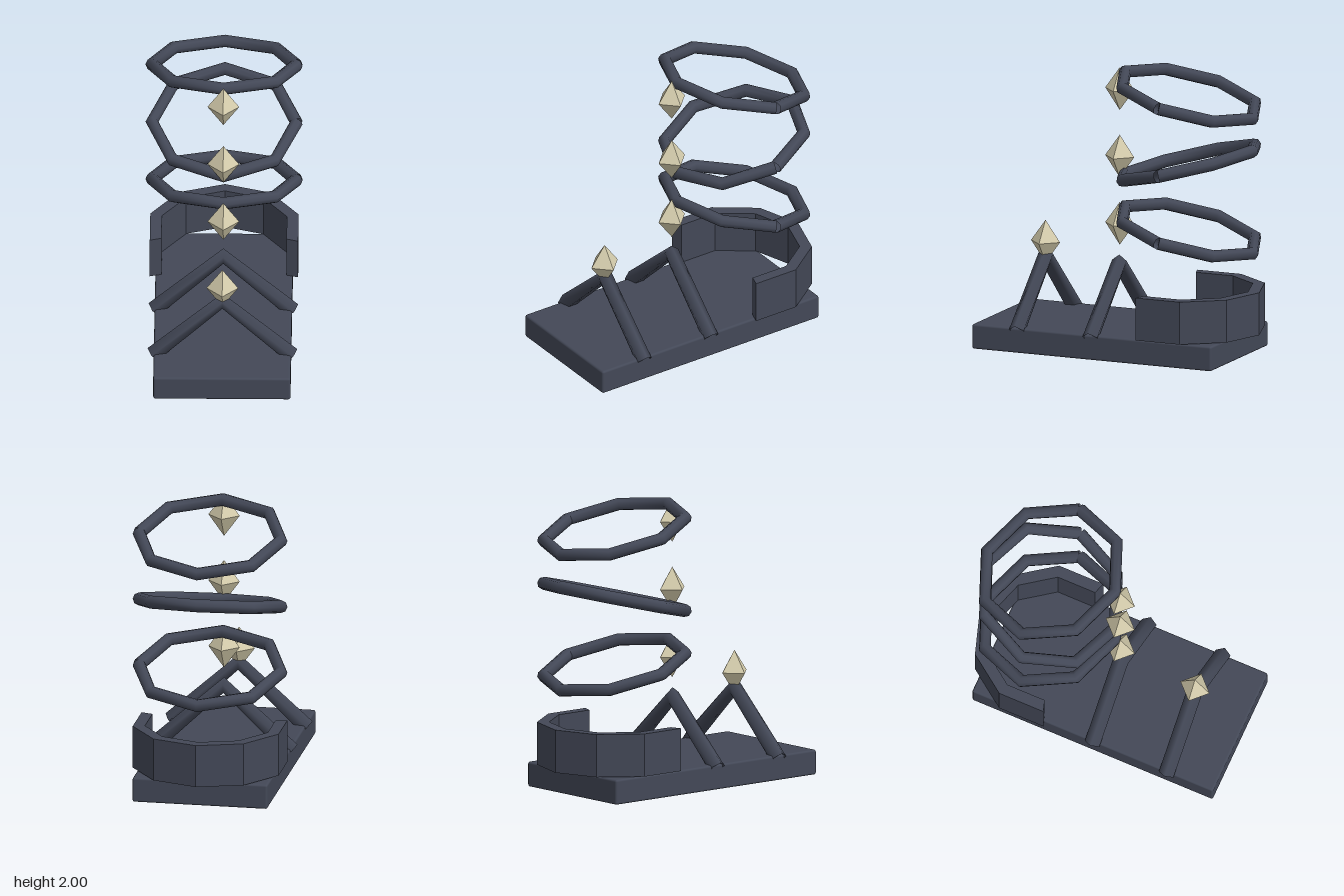
import * as THREE from 'three';
import { RoundedBoxGeometry } from 'three/addons/geometries/RoundedBoxGeometry.js';

// Straight-sided path in the xy plane, made of equally long segments
class Polyline extends THREE.Curve {
  constructor(points) {
    super();
    this.points = points;
  }
  getPoint(t, target = new THREE.Vector3()) {
    const n = this.points.length - 1;
    const i = Math.min(Math.floor(t * n), n - 1);
    return target.lerpVectors(this.points[i], this.points[i + 1], t * n - i);
  }
  // Keep one edge of the tube's cross-section in the path's own plane
  computeFrenetFrames(segments) {
    const z = new THREE.Vector3(0, 0, 1);
    const tangents = [], normals = [], binormals = [];
    for (let i = 0; i <= segments; i++) {
      const t = this.getTangentAt(i / segments);
      const n = new THREE.Vector3().crossVectors(t, z);
      tangents.push(t);
      normals.push(n);
      binormals.push(new THREE.Vector3().crossVectors(t, n));
    }
    return { tangents, normals, binormals };
  }
}

export function createModel() {
  const model = new THREE.Group();
  model.name = 'model';
  const slate = new THREE.MeshStandardMaterial({ color: 0x434857, side: THREE.DoubleSide });
  slate.name = 'dark slate';
  const ivory = new THREE.MeshStandardMaterial({ color: 0xd4ccac });
  ivory.name = 'pale ivory';

  const add = (name, geometry, material, x, y, z) => {
    const mesh = new THREE.Mesh(geometry, material);
    mesh.name = name;
    mesh.position.set(x, y, z);
    model.add(mesh);
    return mesh;
  };

  // Slab
  add('base', new RoundedBoxGeometry(0.95, 0.175, 1.82, 2, 0.015), slate, 0, 0.0875, 0.075);

  // Inverted-V frames standing across the slab
  const framePath = new Polyline([
    new THREE.Vector3(-0.478, 0.153, 0),
    new THREE.Vector3(0, 0.597, 0),
    new THREE.Vector3(0.478, 0.153, 0),
  ]);
  const frame = new THREE.TubeGeometry(framePath, 2, 0.058, 5, false);
  add('frontFrame', frame, slate, 0, 0, 0.64);
  add('middleFrame', frame, slate, 0, 0, 0.08);

  // Thick curved wall at the back, open to the front
  const arc = (radius) => Array.from({ length: 7 }, (_, i) => {
    const a = THREE.MathUtils.degToRad(-18 + 36 * i);
    return new THREE.Vector2(radius * Math.cos(a), radius * Math.sin(a));
  });
  const wallShape = new THREE.Shape([...arc(0.54), ...arc(0.455).reverse()]);
  const wall = new THREE.ExtrudeGeometry(wallShape, { depth: 0.3, bevelEnabled: false });
  wall.rotateX(-Math.PI / 2);
  add('backWall', wall, slate, 0, 0.18, -0.445);

  // Eight-sided rings, tilted alternately, each with a gem at its front
  const ringPath = new Polyline(Array.from({ length: 9 }, (_, i) => {
    const a = (i * Math.PI) / 4;
    return new THREE.Vector3(0.5 * Math.cos(a), 0.5 * Math.sin(a), 0);
  }));
  const ring = new THREE.TubeGeometry(ringPath, 8, 0.045, 8, false);
  const gem = new THREE.OctahedronGeometry(0.11);
  gem.scale(1, 1.37, 1);
  [0.877, 1.353, 1.83].forEach((y, i) => {
    const tilt = i % 2 ? 0.25 : -0.25;
    add(`ring${i + 1}`, ring, slate, 0, y, -0.448).rotation.x = Math.PI / 2 + tilt;
    add(`ringGem${i + 1}`, gem, ivory, 0, y, 0.077);
  });

  // Gem on the front frame's peak
  add('frameGem', gem, ivory, 0, 0.7, 0.642);

  return model;
}
